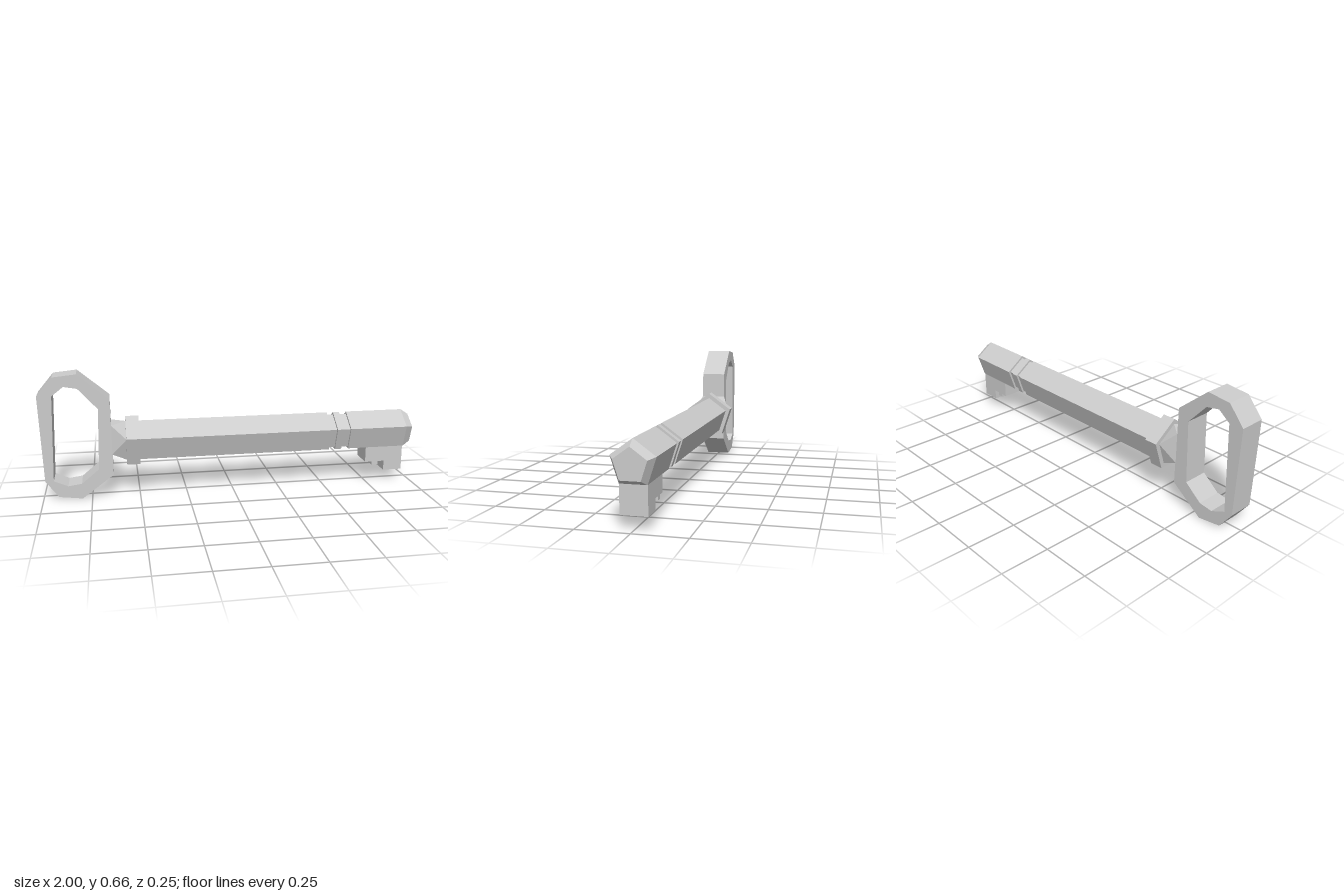
import * as THREE from 'three';
import { ConvexGeometry } from 'three/addons/geometries/ConvexGeometry.js';

const SIDES = 5;
const AXIS_Y = 0.284; // height of the shaft's axis

export function createModel() {
  const key = new THREE.Group();
  key.name = 'key';
  const material = new THREE.MeshStandardMaterial({ color: 0xcccccc, flatShading: true });

  const add = (name, geometry) => {
    const mesh = new THREE.Mesh(geometry, material);
    mesh.name = name;
    key.add(mesh);
    return mesh;
  };

  // Five-sided bar along x with one edge pointing up
  const bar = (name, x0, x1, r0, r1 = r0) => {
    const g = new THREE.CylinderGeometry(r1, r0, x1 - x0, SIDES, 1, false, -Math.PI / 2);
    g.rotateZ(-Math.PI / 2);
    g.translate((x0 + x1) / 2, AXIS_Y, 0);
    return add(name, g);
  };

  // Flat plate in the xy plane, extruded from z0 to z1
  const plate = (name, outline, z0, z1, hole) => {
    const toPoints = (list) => list.map(([x, y]) => new THREE.Vector2(x, y));
    const shape = new THREE.Shape(toPoints(outline));
    if (hole) shape.holes.push(new THREE.Path(toPoints(hole)));
    const g = new THREE.ExtrudeGeometry(shape, { depth: z1 - z0, bevelEnabled: false });
    g.translate(0, 0, z0);
    return add(name, g);
  };

  // Bow: faceted ring handle
  plate('bow',
    [[-1, 0.553], [-0.985, 0.104], [-0.92, 0.016], [-0.8, 0], [-0.635, 0.122],
      [-0.64, 0.525], [-0.8, 0.66], [-0.92, 0.648]],
    -0.063, 0.07,
    [[-0.926, 0.552], [-0.866, 0.598], [-0.798, 0.586], [-0.7, 0.477],
      [-0.71, 0.156], [-0.8, 0.082], [-0.87, 0.072], [-0.942, 0.104]]);

  // Neck: blends the rectangular bow into the five-sided shaft
  const neckPoints = [];
  for (const y of [0.232, 0.387])
    for (const z of [-0.063, 0.07]) neckPoints.push(new THREE.Vector3(-0.638, y, z));
  for (let i = 0; i < SIDES; i++) {
    const a = (i / SIDES) * Math.PI * 2;
    neckPoints.push(new THREE.Vector3(-0.563, AXIS_Y + 0.107 * Math.cos(a), 0.107 * Math.sin(a)));
  }
  add('neck', new ConvexGeometry(neckPoints));

  // Collar, shaft, grooves and tip
  bar('collar', -0.564, -0.495, 0.134);
  bar('shaft', -0.495, 0.53, 0.107);
  bar('innerGroove', 0.53, 0.565, 0.094);
  bar('ring', 0.565, 0.6, 0.107);
  bar('outerGroove', 0.6, 0.64, 0.094);
  bar('shaftEnd', 0.64, 0.957, 0.107);
  bar('tip', 0.957, 1, 0.107, 0.079);

  // Bit: toothed plate under the shaft end
  plate('bit',
    [[0.742, 0.2], [0.742, 0.115], [0.78, 0.115], [0.78, 0.096], [0.815, 0.096],
      [0.815, 0.115], [0.85, 0.115], [0.85, 0.062], [0.953, 0.062], [0.953, 0.2]],
    -0.063, 0.063);

  return key;
}
